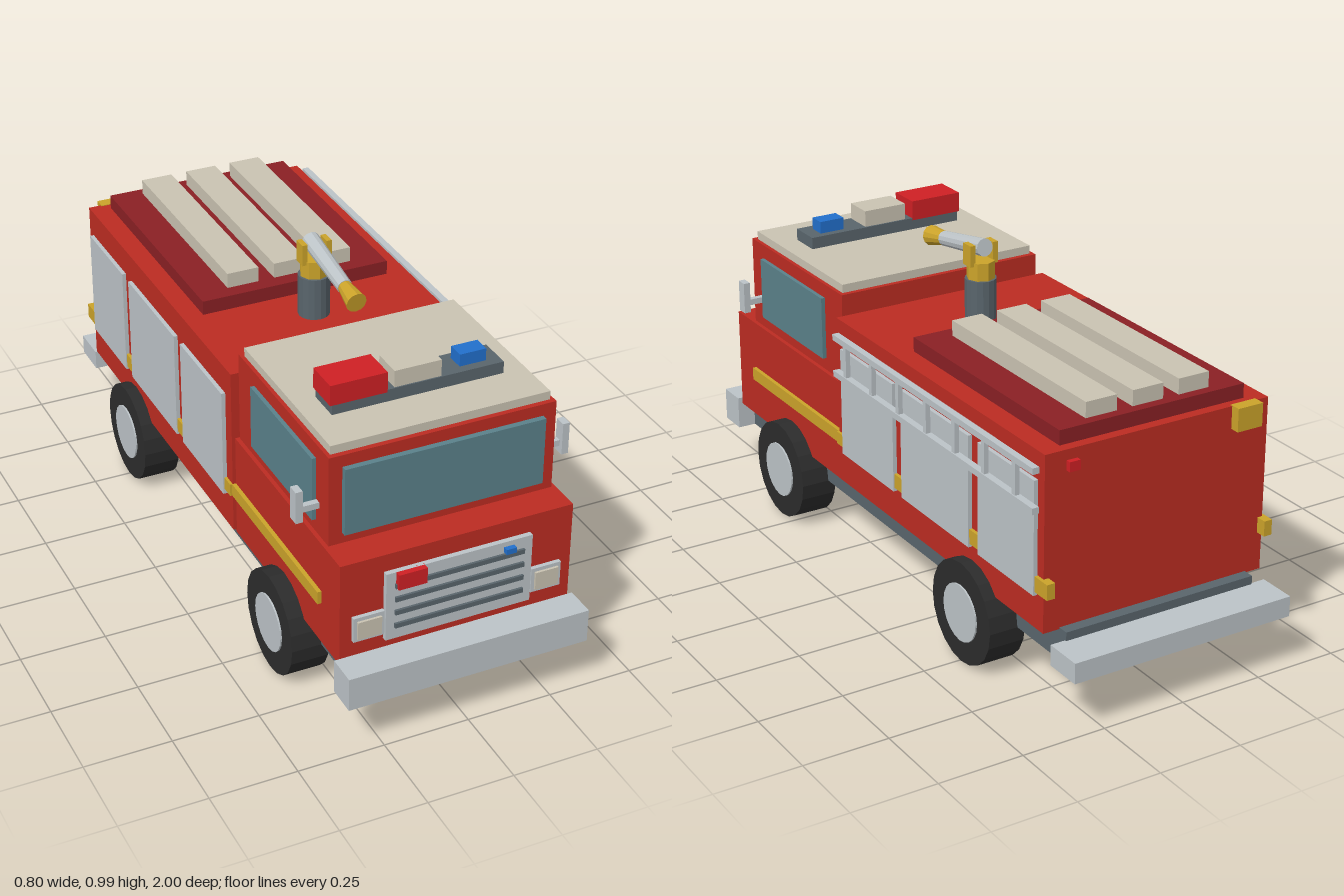
import * as THREE from 'three';

export function createModel() {
  const truck = new THREE.Group();
  truck.name = 'fireTruck';

  const mat = (name, color) => {
    const m = new THREE.MeshStandardMaterial({ color, flatShading: true });
    m.name = name;
    return m;
  };
  const red = mat('body red', 0xbc2c22);
  const darkRed = mat('deck red', 0x8a2024);
  const lampRed = mat('lamp red', 0xcf2024);
  const cream = mat('cream', 0xcac3b2);
  const glass = mat('window teal', 0x5a818a);
  const silver = mat('silver', 0xbcc3c7);
  const slate = mat('slate grey', 0x59656c);
  const black = mat('tyre black', 0x2c2c2c);
  const gold = mat('gold', 0xcba32a);
  const blue = mat('lamp blue', 0x2270cc);

  const add = (name, geometry, material, parent = truck) => {
    const mesh = new THREE.Mesh(geometry, material);
    mesh.name = name;
    parent.add(mesh);
    return mesh;
  };
  // Box given by its limits on each axis
  const box = (name, material, x0, x1, y0, y1, z0, z1, parent = truck) => {
    const mesh = add(name, new THREE.BoxGeometry(x1 - x0, y1 - y0, z1 - z0), material, parent);
    mesh.position.set((x0 + x1) / 2, (y0 + y1) / 2, (z0 + z1) / 2);
    return mesh;
  };
  // The same box on the left and the right
  const pair = (name, material, x0, x1, ...rest) => {
    box(name + 'Left', material, x0, x1, ...rest);
    box(name + 'Right', material, -x1, -x0, ...rest);
  };

  // Chassis and bumpers
  box('chassis', slate, -0.3, 0.3, 0.15, 0.245, -0.89, 0.91);
  box('frontBumper', silver, -0.355, 0.355, 0.15, 0.25, 0.91, 1);
  box('rearBumper', silver, -0.345, 0.345, 0.16, 0.22, -1, -0.885);

  // Cab and rear body
  box('lowerCab', red, -0.34, 0.34, 0.23, 0.542, 0.235, 0.91);
  box('upperCab', red, -0.328, 0.328, 0.54, 0.81, 0.245, 0.815);
  box('cabRoof', cream, -0.317, 0.317, 0.81, 0.835, 0.26, 0.8);
  box('rearBody', red, -0.35, 0.35, 0.24, 0.748, -0.857, 0.24);

  // Windows
  box('windscreen', glass, -0.29, 0.29, 0.575, 0.775, 0.81, 0.832);
  pair('sideWindow', glass, 0.32, 0.34, 0.58, 0.768, 0.35, 0.74);

  // Wing mirrors
  pair('mirrorArm', silver, 0.32, 0.385, 0.626, 0.644, 0.742, 0.76);
  pair('mirror', silver, 0.38, 0.4, 0.605, 0.7, 0.738, 0.772);

  // Grille with slats and small lamps
  box('grille', silver, -0.215, 0.213, 0.28, 0.49, 0.905, 0.925);
  for (let i = 0; i < 4; i++) {
    const y = 0.323 + i * 0.0418;
    box('grilleSlat', slate, -0.19, 0.188, y - 0.007, y + 0.007, 0.92, 0.932);
  }
  box('grilleRedLamp', lampRed, -0.187, -0.105, 0.443, 0.49, 0.92, 0.942);
  box('grilleBlueLamp', blue, 0.128, 0.158, 0.459, 0.475, 0.92, 0.94);
  pair('headlightHousing', silver, 0.217, 0.306, 0.3, 0.375, 0.905, 0.922);
  pair('headlightLens', cream, 0.227, 0.296, 0.31, 0.364, 0.915, 0.929);

  // Side stripes, locker doors and gold catches
  pair('cabStripe', gold, 0.33, 0.352, 0.356, 0.394, 0.235, 0.8);
  [[-0.1, 0.2], [-0.505, -0.145], [-0.827, -0.553]].forEach(([z0, z1]) =>
    pair('lockerDoor', silver, 0.34, 0.362, 0.34, 0.668, z0, z1));
  pair('frontCatch', gold, 0.34, 0.36, 0.352, 0.395, -0.143, -0.102);
  pair('middleCatch', gold, 0.34, 0.36, 0.352, 0.395, -0.55, -0.507);
  pair('rearMarker', gold, 0.335, 0.36, 0.353, 0.398, -0.888, -0.83);
  pair('stripeStart', gold, 0.34, 0.358, 0.356, 0.394, 0.2, 0.24);

  // Rear lamps
  box('rearGoldLamp', gold, -0.312, -0.232, 0.683, 0.75, -0.885, -0.85);
  box('rearRedLamp', lampRed, 0.252, 0.285, 0.69, 0.718, -0.872, -0.85);

  // Roof deck with three planks
  box('roofDeck', darkRed, -0.29, 0.288, 0.745, 0.79, -0.828, -0.095);
  for (const x of [-0.147, -0.002, 0.143])
    box('roofPlank', cream, x - 0.048, x + 0.048, 0.788, 0.835, -0.8, -0.14);

  // Light bar on the cab
  box('lightBar', slate, -0.25, 0.25, 0.835, 0.87, 0.57, 0.668);
  box('redBeacon', lampRed, -0.256, -0.092, 0.864, 0.924, 0.568, 0.67);
  box('creamBeacon', cream, -0.07, 0.067, 0.868, 0.919, 0.575, 0.664);
  box('blueBeacon', blue, 0.132, 0.21, 0.868, 0.906, 0.592, 0.642);

  // Water cannon
  const cannon = new THREE.Group();
  cannon.name = 'waterCannon';
  truck.add(cannon);
  add('cannonBase', new THREE.CylinderGeometry(0.046, 0.046, 0.13, 16), slate, cannon)
    .position.set(0, 0.808, 0.022);
  add('cannonCollar', new THREE.CylinderGeometry(0.041, 0.041, 0.055, 8), gold, cannon)
    .position.set(0, 0.898, 0.022);
  for (const s of [-1, 1])
    box('cannonFork', gold, s * 0.037 - 0.008, s * 0.037 + 0.008, 0.915, 0.978, 0.003, 0.043, cannon);
  const barrel = new THREE.Group();
  barrel.name = 'barrel';
  barrel.position.set(0, 0.968, 0);
  barrel.rotation.x = Math.PI / 2 + 0.175;
  cannon.add(barrel);
  add('barrelTube', new THREE.CylinderGeometry(0.022, 0.026, 0.225, 12), silver, barrel)
    .position.y = 0.112;
  add('nozzle', new THREE.CylinderGeometry(0.03, 0.02, 0.075, 12), gold, barrel)
    .position.y = 0.262;

  // Ladder on the left side
  const ladder = new THREE.Group();
  ladder.name = 'ladder';
  truck.add(ladder);
  for (const y of [0.607, 0.718])
    box('ladderRail', silver, 0.375, 0.395, y - 0.009, y + 0.009, -0.87, 0.182, ladder);
  for (let i = 0; i < 7; i++) {
    const z = 0.118 - i * 0.149;
    box('ladderRung', silver, 0.378, 0.392, 0.607, 0.718, z - 0.008, z + 0.008, ladder);
  }

  // Wheels
  for (const z of [0.565, -0.505]) {
    for (const s of [-1, 1]) {
      const wheel = new THREE.Group();
      wheel.name = 'wheel';
      wheel.position.set(s * 0.331, 0.15, z);
      wheel.rotation.z = Math.PI / 2;
      truck.add(wheel);
      add('tyre', new THREE.CylinderGeometry(0.15, 0.15, 0.11, 20), black, wheel);
      add('hub', new THREE.CylinderGeometry(0.084, 0.084, 0.12, 20), silver, wheel);
    }
  }

  return truck;
}
